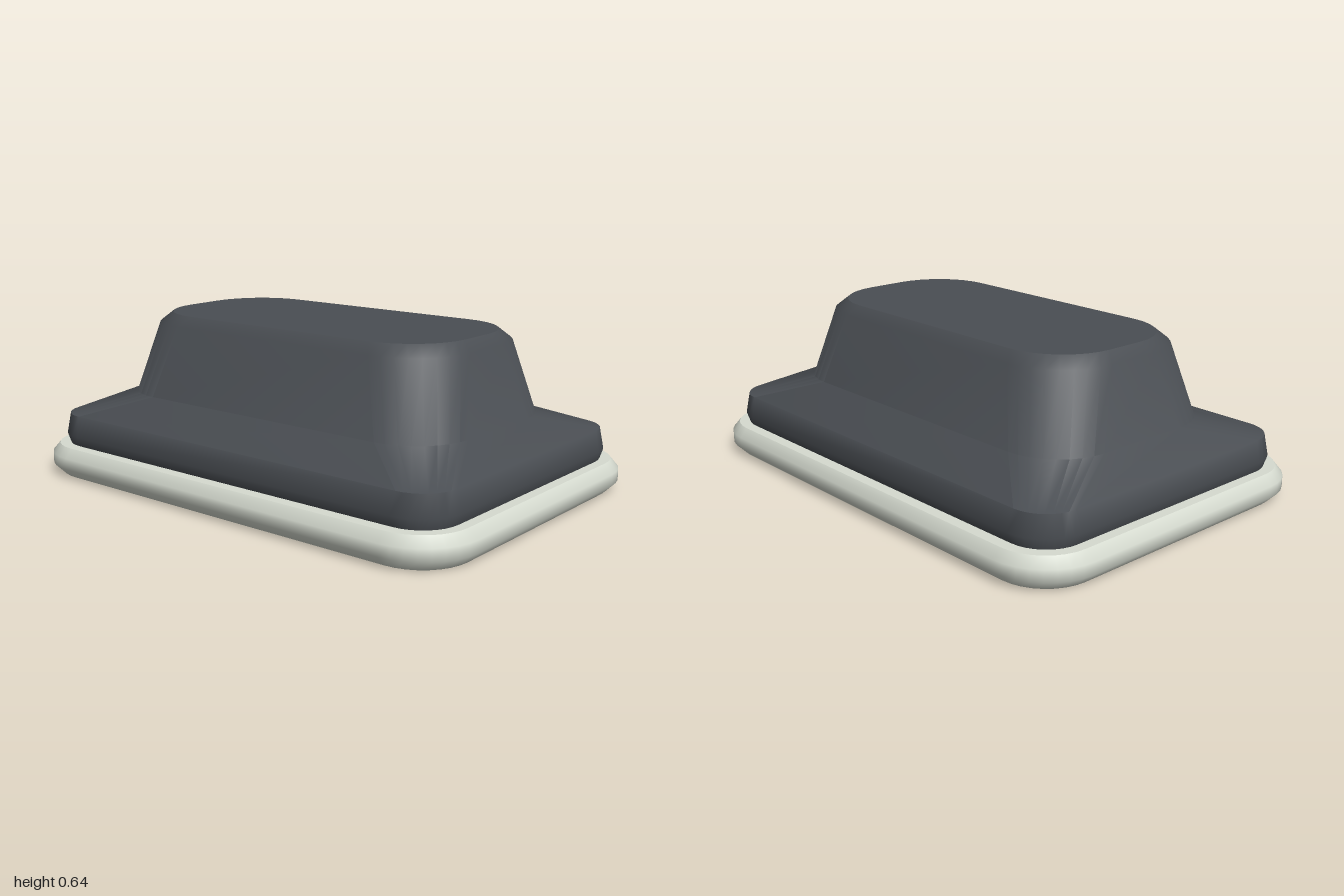
import * as THREE from 'three';
import { toCreasedNormals } from 'three/addons/utils/BufferGeometryUtils.js';

const CORNER_STEPS = 8;

// Rounded rectangle outline at height y, with half sizes hx, hz and corner radius r
function ring([y, hx, hz, r]) {
  const points = [];
  const signs = [[1, 1], [-1, 1], [-1, -1], [1, -1]];
  signs.forEach(([sx, sz], corner) => {
    for (let k = 0; k <= CORNER_STEPS; k++) {
      const a = (corner + k / CORNER_STEPS) * Math.PI / 2;
      points.push([sx * (hx - r) + r * Math.cos(a), y, sz * (hz - r) + r * Math.sin(a)]);
    }
  });
  return points;
}

function build(positions, index) {
  const geometry = new THREE.BufferGeometry();
  geometry.setAttribute('position', new THREE.Float32BufferAttribute(positions, 3));
  geometry.setIndex(index);
  return geometry;
}

// Skin between stacked outlines
function loft(sections) {
  const rings = sections.map(ring);
  const n = rings[0].length;
  const index = [];
  for (let i = 0; i < rings.length - 1; i++) {
    for (let j = 0; j < n; j++) {
      const a = i * n + j, b = i * n + (j + 1) % n;
      index.push(a, a + n, b, b, a + n, b + n);
    }
  }
  return toCreasedNormals(build(rings.flat(2), index), THREE.MathUtils.degToRad(55));
}

// Flat lid on one outline
function cap(section, up) {
  const points = ring(section);
  const n = points.length;
  const index = [];
  for (let j = 0; j < n; j++) {
    const k = (j + 1) % n;
    index.push(n, up ? k : j, up ? j : k);
  }
  const geometry = build([...points, [0, section[0], 0]].flat(), index);
  geometry.computeVertexNormals();
  return geometry;
}

function solid(name, sections, material) {
  const group = new THREE.Group();
  group.name = name;
  const add = (part, geometry) => {
    const mesh = new THREE.Mesh(geometry, material);
    mesh.name = name + part;
    group.add(mesh);
  };
  add('Side', loft(sections));
  add('Top', cap(sections[sections.length - 1], true));
  add('Bottom', cap(sections[0], false));
  return group;
}

export function createModel() {
  const pale = new THREE.MeshStandardMaterial({ color: 0xd6dbd0 });
  pale.name = 'pale grey';
  const dark = new THREE.MeshStandardMaterial({ color: 0x4a4e53 });
  dark.name = 'dark slate';

  const model = new THREE.Group();
  model.name = 'steppedHousing';

  // Bevelled base plate: height, half width, half depth, corner radius
  model.add(solid('basePlate', [
    [0, 0.96, 0.66, 0.19],
    [0.04, 1, 0.7, 0.23],
    [0.085, 1, 0.7, 0.23],
    [0.12, 0.965, 0.67, 0.19],
  ], pale));

  // Flared skirt rising to a raised block with a bevelled top
  model.add(solid('body', [
    [0.12, 0.925, 0.625, 0.15],
    [0.16, 0.94, 0.64, 0.17],
    [0.24, 0.92, 0.62, 0.14],
    [0.32, 0.78, 0.43, 0.23],
    [0.6, 0.72, 0.36, 0.25],
    [0.64, 0.68, 0.32, 0.24],
  ], dark));

  return model;
}
